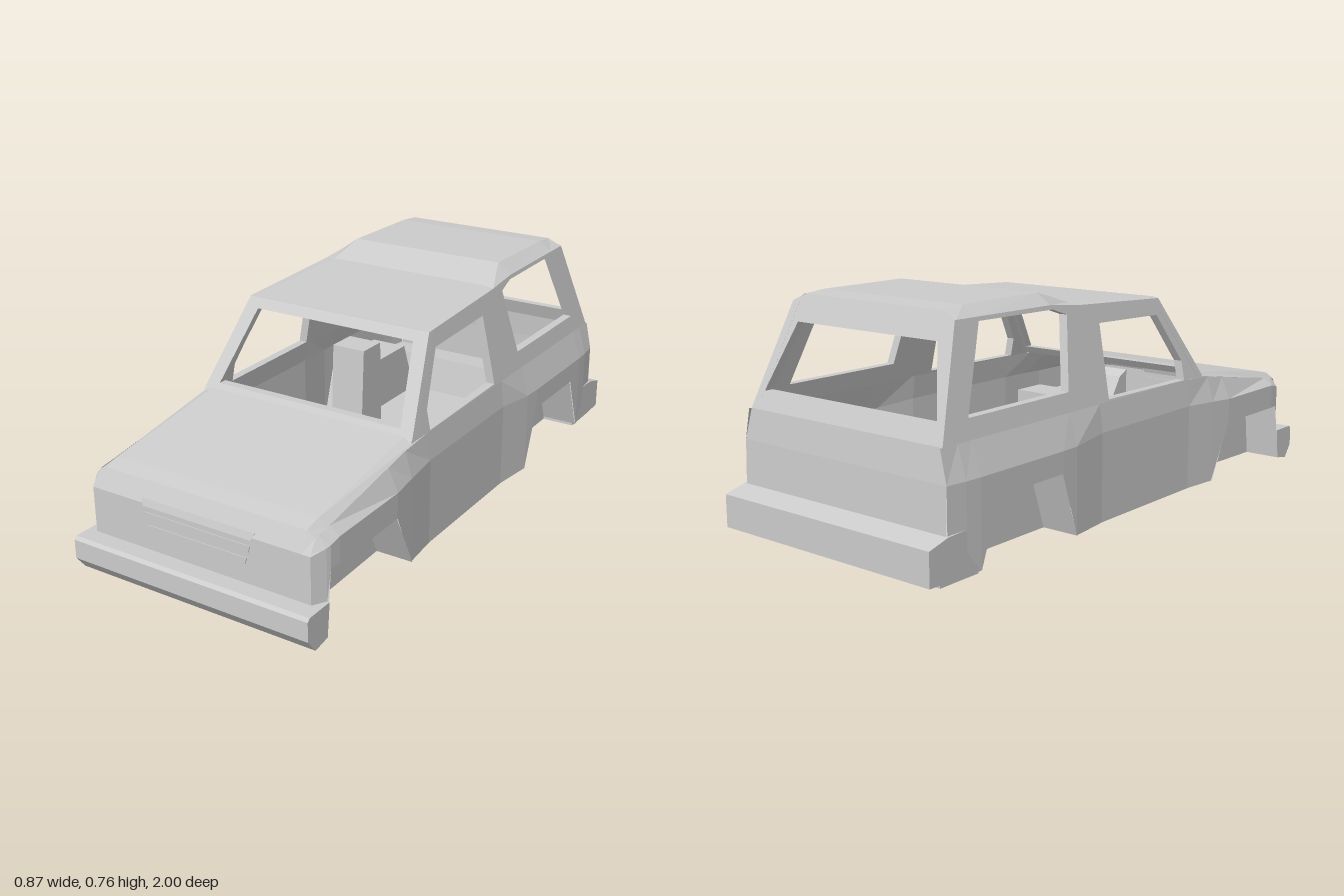
import * as THREE from 'three';

const material = new THREE.MeshStandardMaterial({ color: 0xcccccc, flatShading: true, side: THREE.DoubleSide });

function addMesh(group, name, geometry) {
  geometry.computeVertexNormals();
  const mesh = new THREE.Mesh(geometry, material);
  mesh.name = name;
  group.add(mesh);
}

// Surface through equal-length rows of [x, y, z] points
function loft(rows) {
  const n = rows[0].length, index = [];
  for (let r = 0; r < rows.length - 1; r++) {
    for (let c = 0; c < n - 1; c++) {
      const a = r * n + c, b = a + n;
      index.push(a, b, a + 1, a + 1, b, b + 1);
    }
  }
  const g = new THREE.BufferGeometry();
  g.setAttribute('position', new THREE.Float32BufferAttribute(rows.flat(2), 3));
  g.setIndex(index);
  return g;
}

// Extruded plate whose points are then placed by a rule
function plate(outline, holes, depth, place) {
  const toPoints = list => list.map(p => new THREE.Vector2(...p));
  const shape = new THREE.Shape(toPoints(outline));
  for (const h of holes) shape.holes.push(new THREE.Path(toPoints(h)));
  const g = new THREE.ExtrudeGeometry(shape, { depth, bevelEnabled: false });
  const p = g.attributes.position;
  for (let i = 0; i < p.count; i++) p.setXYZ(i, ...place(p.getX(i), p.getY(i), p.getZ(i)));
  return g;
}

// Completes a right-hand outline [x, y] with its mirror image
const mirror = half => [...half, ...half.slice().reverse().map(([x, y]) => [-x, y])];

export function createModel() {
  const car = new THREE.Group();
  car.name = 'vehicleBody';

  // Wheel arch profiles as [z, y]
  const arches = [
    [[0.905, 0.01], [0.88, 0.215], [0.53, 0.215], [0.434, 0.02]],
    [[-0.354, 0.02], [-0.424, 0.23], [-0.718, 0.23], [-0.794, 0.03]],
  ];
  const wellX = 0.3;

  // Lower side stations: z, bottom y, waist y, waist x, belt y, belt x
  const stations = [
    [0.935, 0.118, 0.27, 0.4, 0.272, 0.395],
    [0.893, 0.118, 0.285, 0.425, 0.317, 0.4],
    [0.88, 0.215, 0.29, 0.43, 0.32, 0.4],
    [0.84, 0.215, 0.3, 0.433, 0.325, 0.4],
    [0.53, 0.215, 0.3, 0.433, 0.375, 0.4],
    [0.434, 0.02, 0.305, 0.425, 0.39, 0.4],
    [0.3, 0.02, 0.31, 0.412, 0.4, 0.4],
    [-0.2, 0.02, 0.31, 0.412, 0.4, 0.4],
    [-0.354, 0.02, 0.3, 0.43, 0.4, 0.4],
    [-0.424, 0.23, 0.3, 0.433, 0.4, 0.4],
    [-0.718, 0.23, 0.3, 0.433, 0.4, 0.4],
    [-0.794, 0.03, 0.3, 0.433, 0.4, 0.4],
    [-0.85, 0.1, 0.3, 0.43, 0.4, 0.4],
    [-0.92, 0.16, 0.3, 0.422, 0.4, 0.4],
  ];

  // Upper side outline and its window openings as [z, y]
  const cabin = [[0.4, 0.4], [0.39, 0.413], [0.2, 0.686], [-0.236, 0.708], [-0.37, 0.722], [-0.785, 0.725], [-0.91, 0.4]];
  const sideWindows = [
    [[0.284, 0.402], [0.284, 0.467], [0.177, 0.633], [-0.14, 0.643], [-0.15, 0.407]],
    [[-0.295, 0.686], [-0.36, 0.708], [-0.69, 0.712], [-0.793, 0.46], [-0.343, 0.46]],
  ];

  for (const s of [1, -1]) {
    const side = s > 0 ? 'left' : 'right';
    addMesh(car, side + 'LowerSide', loft(stations.map(([z, yb, yw, xw, yt, xt]) =>
      [[s * xw, yb, z], [s * xw, yw, z], [s * xt, yt, z]])));
    addMesh(car, side + 'CabinSide', plate(cabin, sideWindows, 0.03,
      (z, y, d) => [s * (0.4 - (y - 0.4) * 0.2 - d), y, z]));
    // Wheel wells with an inner wall
    for (const [i, arch] of arches.entries()) {
      const name = side + (i ? 'Rear' : 'Front') + 'Wheel';
      addMesh(car, name + 'Well', loft(arch.map(([z, y]) => [[s * 0.43, y, z], [s * wellX, y, z]])));
      addMesh(car, name + 'InnerWall', plate(arch, [], 0.01, (z, y, d) => [s * (wellX - d), y, z]));
    }
  }

  // Floor, notched at the wheels
  const floorHalf = [[0.42, 0.95], [0.42, 0.905], [wellX, 0.905], [wellX, 0.434], [0.425, 0.434], [0.412, 0.3],
    [0.412, -0.2], [0.43, -0.354], [wellX, -0.354], [wellX, -0.794], [0.42, -0.794], [0.42, -0.95]];
  addMesh(car, 'floor', plate(mirror(floorHalf), [], 0.01, (x, z, d) => [x, 0.02 + d, z]));

  // Hood and front fascia, with lowered outer edges
  const noseRows = [[0.39, 0.413, 0.4, 0.4], [0.85, 0.345, 0.322, 0.4], [0.906, 0.332, 0.315, 0.398],
    [0.935, 0.27, 0.27, 0.4], [0.935, 0.11, 0.11, 0.4]];
  addMesh(car, 'hoodAndNose', loft(noseRows.map(([z, y, ye, x]) =>
    [[-x, ye, z], [-0.37, y, z], [0.37, y, z], [x, ye, z]])));
  // Grille bars
  for (let i = 0; i < 3; i++) {
    const y = 0.262 - i * 0.041, w = 0.2 - i * 0.013;
    addMesh(car, 'grilleBar' + (i + 1), plate(mirror([[w, y], [w + 0.008, y + 0.022]]), [], 0.008,
      (x, yy, d) => [x, yy, 0.93 - Math.max(0, yy - 0.27) * 0.47 + d]));
  }

  // Bumpers
  const bumper = (name, profile, half) => addMesh(car, name,
    plate(profile, [], half * 2, (z, y, d) => [d - half, y, z]));
  bumper('frontBumper', [[0.893, 0.118], [0.99, 0.118], [1, 0.108], [1, 0.045], [0.965, 0], [0.905, 0.01]], 0.433);
  bumper('rearBumper', [[-0.82, 0.165], [-0.925, 0.16], [-1, 0.14], [-1, 0.035], [-0.794, 0.03]], 0.43);

  // Windshield frame
  addMesh(car, 'windshieldFrame', plate(
    mirror([[0.4, 0.405], [0.343, 0.686]]), [mirror([[0.348, 0.43], [0.298, 0.655]])], 0.03,
    (x, y, d) => [x, y, 0.395 - (y - 0.405) * 0.69 - d]));

  // Tailgate and rear window frame
  addMesh(car, 'tailgate', loft([[0.422, 0.15, -0.925], [0.422, 0.3, -0.92], [0.4, 0.4, -0.91]]
    .map(([x, y, z]) => [[-x, y, z], [x, y, z]])));
  addMesh(car, 'rearWindowFrame', plate(
    mirror([[0.4, 0.4], [0.335, 0.725], [0.285, 0.748]]), [mirror([[0.36, 0.455], [0.29, 0.665]])], 0.03,
    (x, y, d) => [x, y, -0.91 + (y - 0.4) * 0.386 + d]));

  // Roof with raised rear section: z, edge x, edge y, top x, top y
  const roof = [[0.202, 0.343, 0.686, 0.32, 0.69], [-0.236, 0.338, 0.708, 0.3, 0.714],
    [-0.37, 0.336, 0.722, 0.287, 0.757], [-0.7, 0.335, 0.724, 0.287, 0.755], [-0.78, 0.335, 0.725, 0.285, 0.748]];
  addMesh(car, 'roof', loft(roof.map(([z, xe, ye, xt, yt]) =>
    [[-xe, ye, z], [-xt, yt, z], [xt, yt, z], [xe, ye, z]])));

  // Cabin interior: wedge-shaped console and seat block
  addMesh(car, 'console', plate([[0.37, 0.03], [0.37, 0.39], [0.33, 0.37], [0.22, 0.2], [0.22, 0.03]], [], 0.2,
    (z, y, d) => [d - 0.1, y, z]));
  addMesh(car, 'seatBlock', plate([[-0.13, 0.03], [-0.15, 0.42], [-0.26, 0.42], [-0.27, 0.03]], [], 0.13,
    (z, y, d) => [-0.25 + d, y, z]));

  return car;
}
